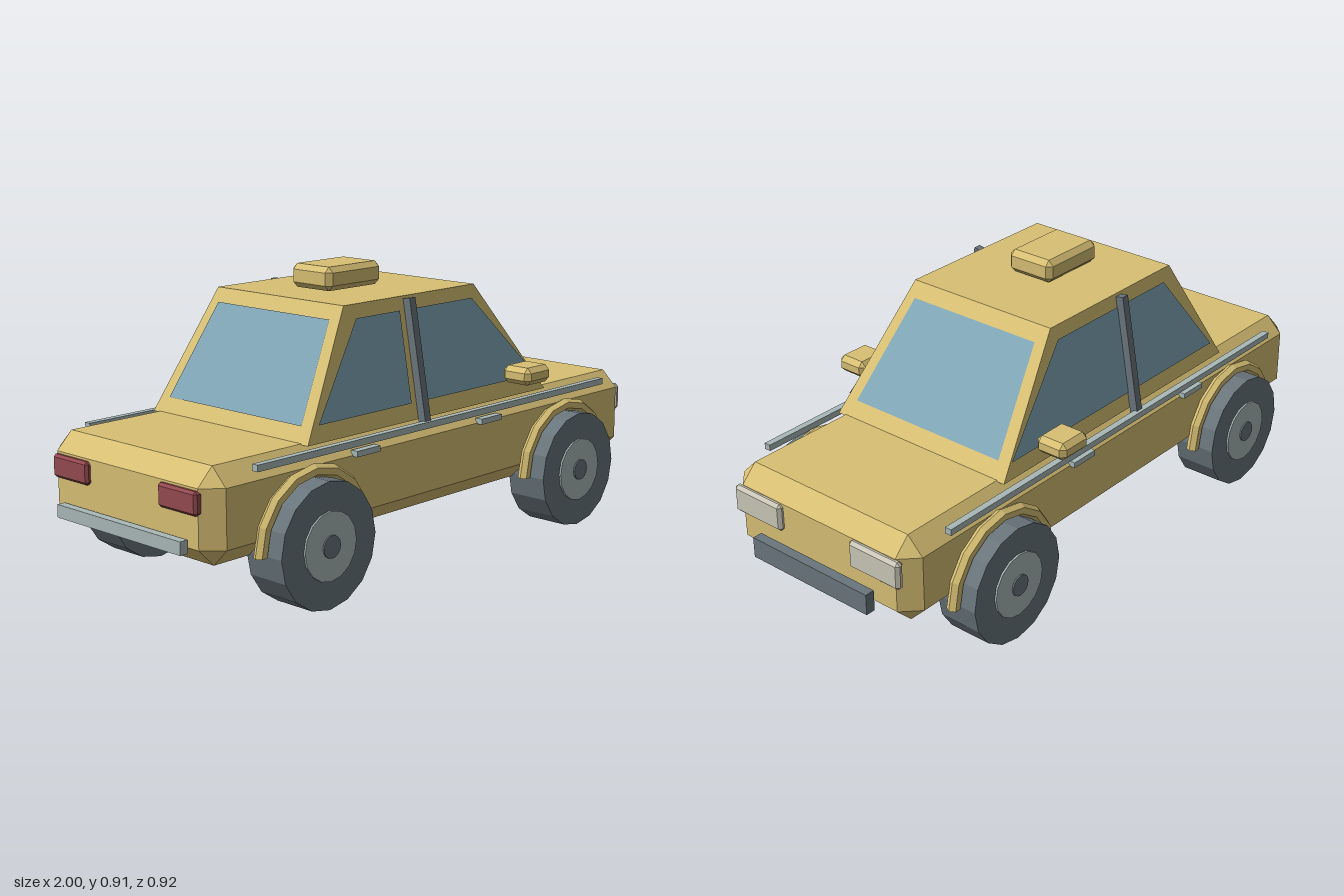
import * as THREE from 'three';
import { ConvexGeometry } from 'three/addons/geometries/ConvexGeometry.js';

const material = (name, color, extra = {}) => {
  const m = new THREE.MeshStandardMaterial({ color, ...extra });
  m.name = name;
  return m;
};

// Box with all edges cut at 45 degrees, given by its ranges in x, y and z
function chamferBox([x0, x1], [y0, y1], [z0, z1], c) {
  const half = [(x1 - x0) / 2, (y1 - y0) / 2, (z1 - z0) / 2];
  const points = [];
  for (const sx of [-1, 1]) for (const sy of [-1, 1]) for (const sz of [-1, 1]) {
    for (let full = 0; full < 3; full++) {
      const h = half.map((v, i) => (i === full ? v : v - c));
      points.push(new THREE.Vector3(sx * h[0], sy * h[1], sz * h[2]));
    }
  }
  return new ConvexGeometry(points).translate((x0 + x1) / 2, (y0 + y1) / 2, (z0 + z1) / 2);
}

function box([x0, x1], [y0, y1], [z0, z1]) {
  return new THREE.BoxGeometry(x1 - x0, y1 - y0, z1 - z0)
    .translate((x0 + x1) / 2, (y0 + y1) / 2, (z0 + z1) / 2);
}

// Faceted normals
function flat(geometry) {
  const g = geometry.toNonIndexed();
  g.computeVertexNormals();
  return g;
}

// Four-cornered pane, corners counter-clockwise from outside
function pane(corners) {
  const g = new THREE.BufferGeometry();
  g.setAttribute('position', new THREE.Float32BufferAttribute(corners.flat(), 3));
  g.setIndex([0, 1, 2, 0, 2, 3]);
  return flat(g);
}

export function createModel() {
  const paint = material('yellow paint', 0xd8c074);
  const glass = material('blue glass', 0x80a6b6, { side: THREE.DoubleSide });
  const dark = material('dark grey', 0x69757c);
  const chrome = material('chrome', 0xa9b8b8);
  const lamp = material('lamp cream', 0xcbc8b8);
  const red = material('tail red', 0x944a50);

  const car = new THREE.Group();
  car.name = 'car';
  const add = (name, geometry, mat, parent = car) => {
    const mesh = new THREE.Mesh(geometry, mat);
    mesh.name = name;
    parent.add(mesh);
    return mesh;
  };
  // z range mirrored to side s
  const side = (s, a, b) => (s > 0 ? [a, b] : [-b, -a]);

  // Lower body
  add('body', chamferBox([-0.965, 0.957], [0.18, 0.463], [-0.363, 0.363], 0.054), paint);

  // Cabin tapering to the roof
  const Y0 = 0.46, Y1 = 0.831;
  const lerp = (a, b, y) => a + (b - a) * (y - Y0) / (Y1 - Y0);
  const frontX = y => lerp(0.53, 0.238, y);
  const rearX = y => lerp(-0.572, -0.355, y);
  const sideZ = y => lerp(0.337, 0.27, y);
  const cabinPoints = [];
  for (const y of [Y0, Y1]) for (const x of [frontX(y), rearX(y)]) for (const s of [1, -1]) {
    cabinPoints.push(new THREE.Vector3(x, y, s * sideZ(y)));
  }
  add('cabin', new ConvexGeometry(cabinPoints), paint);

  // Windscreen and rear window
  const lift = 0.004, lo = 0.507, hi = 0.79;
  add('windscreen', pane([
    [frontX(lo) + lift, lo, 0.288], [frontX(lo) + lift, lo, -0.288],
    [frontX(hi) + lift, hi, -0.24], [frontX(hi) + lift, hi, 0.24]]), glass);
  add('rearWindow', pane([
    [rearX(lo) - lift, lo, -0.288], [rearX(lo) - lift, lo, 0.288],
    [rearX(hi) - lift, hi, 0.24], [rearX(hi) - lift, hi, -0.24]]), glass);

  // Roof sign
  add('roofSign', chamferBox([-0.225, 0.015], [0.836, 0.91], [-0.085, 0.085], 0.017), paint);

  // Bumpers
  add('frontBumper', box([0.968, 1.0], [0.211, 0.278], [-0.231, 0.231]), dark);
  add('rearBumper', box([-1.0, -0.973], [0.22, 0.26], [-0.272, 0.272]), chrome);

  for (const s of [1, -1]) {
    const label = s > 0 ? 'right' : 'left';

    // Side windows: x at bottom rear, bottom front, top front, top rear
    const panes = [['RearSideWindow', -0.522, -0.122, -0.122, -0.313],
      ['FrontSideWindow', -0.075, 0.487, 0.216, -0.075]];
    for (const [name, a, b, c, d] of panes) {
      const zl = s * (sideZ(0.512) + lift), zh = s * (sideZ(hi) + lift);
      const corners = [[a, 0.512, zl], [b, 0.512, zl], [c, hi, zh], [d, hi, zh]];
      add(label + name, pane(s > 0 ? corners : corners.reverse()), glass);
    }

    // Leaning pillar between the windows
    const pillar = add(label + 'Pillar', new THREE.BoxGeometry(0.026, 0.385, 0.027), dark);
    pillar.position.set(-0.086, 0.636, s * 0.321);
    pillar.rotation.x = -s * Math.atan(0.067 / 0.371);

    // Trim strip, door handles and mirror
    add(label + 'TrimStrip', box([-0.807, 0.803], [0.437, 0.457], side(s, 0.356, 0.378)), chrome);
    for (const x of [-0.363, 0.205]) {
      add(label + 'DoorHandle', box([x - 0.05, x + 0.05], [0.406, 0.424], side(s, 0.355, 0.38)), chrome);
    }
    add(label + 'Mirror', chamferBox([0.285, 0.408], [0.518, 0.574], side(s, 0.35, 0.459), 0.016), paint);

    // Lamps
    add(label + 'Headlight', chamferBox([0.945, 0.973], [0.317, 0.407], side(s, 0.138, 0.333), 0.01), lamp);
    add(label + 'TailLight', chamferBox([-0.98, -0.95], [0.332, 0.402], side(s, 0.155, 0.315), 0.008), red);

    // Wheels with arches above
    for (const x of [-0.59, 0.59]) {
      const wheel = new THREE.Group();
      wheel.name = label + (x > 0 ? 'FrontWheel' : 'RearWheel');
      wheel.position.set(x, 0.191, s * 0.37);
      car.add(wheel);
      const disc = (name, radius, width, mat) => add(name,
        flat(new THREE.CylinderGeometry(radius, radius, width, 16).rotateX(Math.PI / 2)), mat, wheel);
      disc('tyre', 0.19, 0.14, dark);
      disc('hub', 0.104, 0.152, chrome);
      disc('hubCap', 0.034, 0.162, dark);

      const arch = add(label + 'WheelArch', flat(new THREE.TorusGeometry(0.21, 0.02, 6, 8, Math.PI)), paint);
      arch.position.set(x, 0.191, s * 0.377);
    }
  }
  return car;
}
